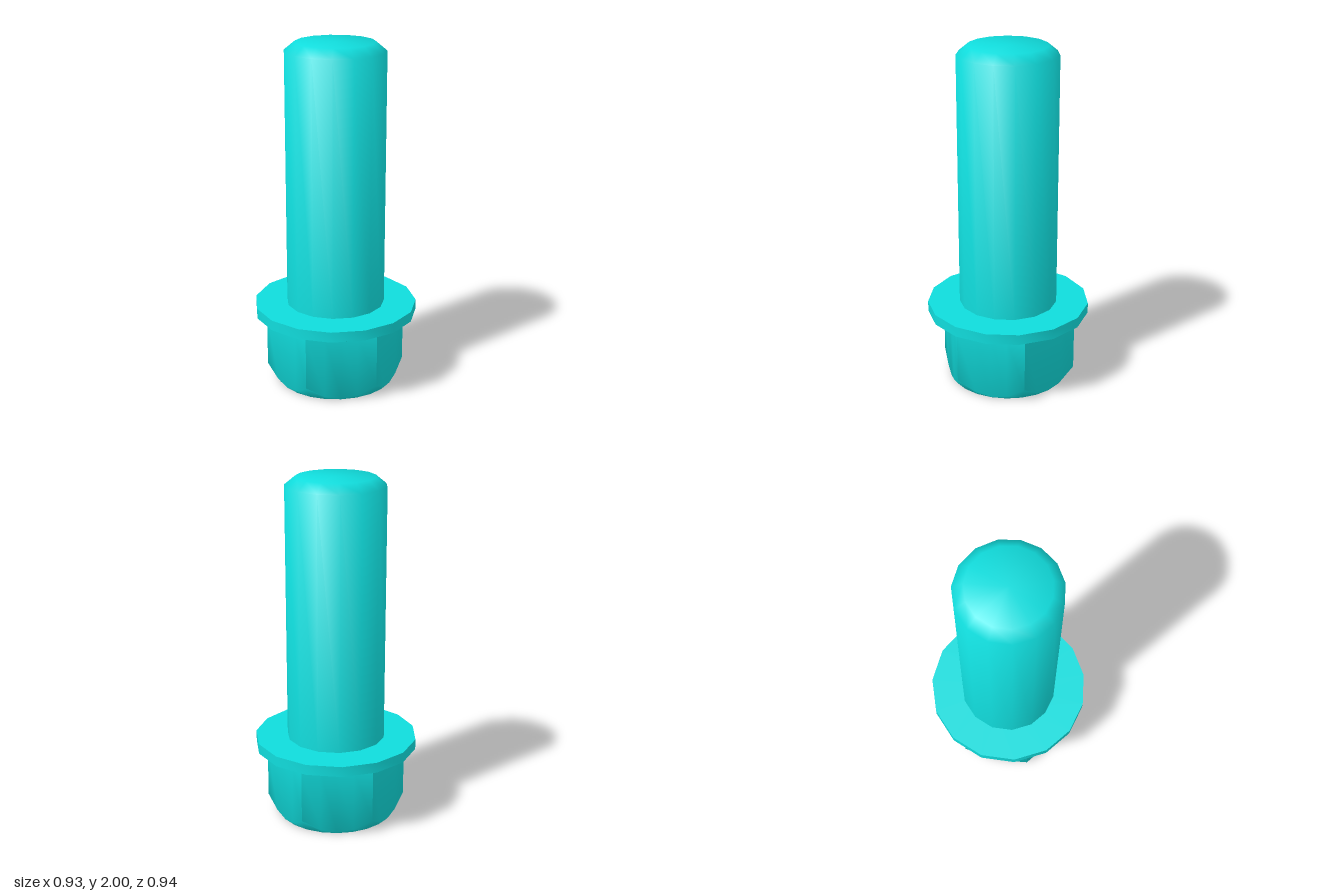
import * as THREE from 'three';
import { toCreasedNormals } from 'three/addons/utils/BufferGeometryUtils.js';

// Skin a stack of rings around y; ring(angle) gives [radius, height].
function loft(name, rings, angles, material) {
  const pos = [];
  const point = (ring, a) => {
    const [r, y] = ring(a);
    return new THREE.Vector3(r * Math.cos(a), y, r * Math.sin(a));
  };
  const triangle = (a, b, c) => {
    if (a.distanceTo(b) < 1e-5 || b.distanceTo(c) < 1e-5 || c.distanceTo(a) < 1e-5) return;
    for (const p of [a, b, c]) pos.push(p.x, p.y, p.z);
  };
  for (let i = 0; i < rings.length - 1; i++) {
    angles.forEach((a, j) => {
      const b = angles[(j + 1) % angles.length];
      const p = point(rings[i], a), q = point(rings[i + 1], a);
      const r = point(rings[i + 1], b), s = point(rings[i], b);
      triangle(p, q, r);
      triangle(p, r, s);
    });
  }
  const geometry = new THREE.BufferGeometry();
  geometry.setAttribute('position', new THREE.Float32BufferAttribute(pos, 3));
  const mesh = new THREE.Mesh(toCreasedNormals(geometry, 1.0), material);
  mesh.name = name;
  return mesh;
}

const circle = (r, y) => () => [r, y];

export function createModel() {
  const group = new THREE.Group();
  group.name = 'flangeBolt';
  const material = new THREE.MeshStandardMaterial({ color: 0x10dcdc });

  // Fifteen slightly uneven sides shared by shaft and flange
  const roundAngles = Array.from({ length: 15 }, (_, i) =>
    THREE.MathUtils.degToRad(i <= 7 ? 6 + 23.14 * i : 168 + 24.75 * (i - 7)));

  // Shaft with chamfered tip
  group.add(loft('shaft', [
    circle(0.286, 0.45), circle(0.286, 1.95), circle(0.225, 2), circle(0, 2),
  ], roundAngles, material));

  // Flange with conical underside
  group.add(loft('flange', [
    circle(0.28, 0.327), circle(0.473, 0.417), circle(0.473, 0.477), circle(0.2, 0.477),
  ], roundAngles, material));

  // Hexagonal head: round chamfer meets the flats, shallow recess underneath
  const flat = 0.35;
  const hex = (a) => {
    const step = Math.PI / 3;
    const t = ((a % step) + step) % step - step / 2;
    return flat / Math.cos(t);
  };
  const headAngles = Array.from({ length: 24 }, (_, i) => (i * Math.PI) / 12);
  group.add(loft('hexHead', [
    circle(0, 0.05), circle(0.24, 0.05), circle(0.26, 0), circle(0.345, 0),
    (a) => [hex(a), 0.006 + 1.4 * (hex(a) - flat)],
    (a) => [hex(a), 0.395],
  ], headAngles, material));

  return group;
}
